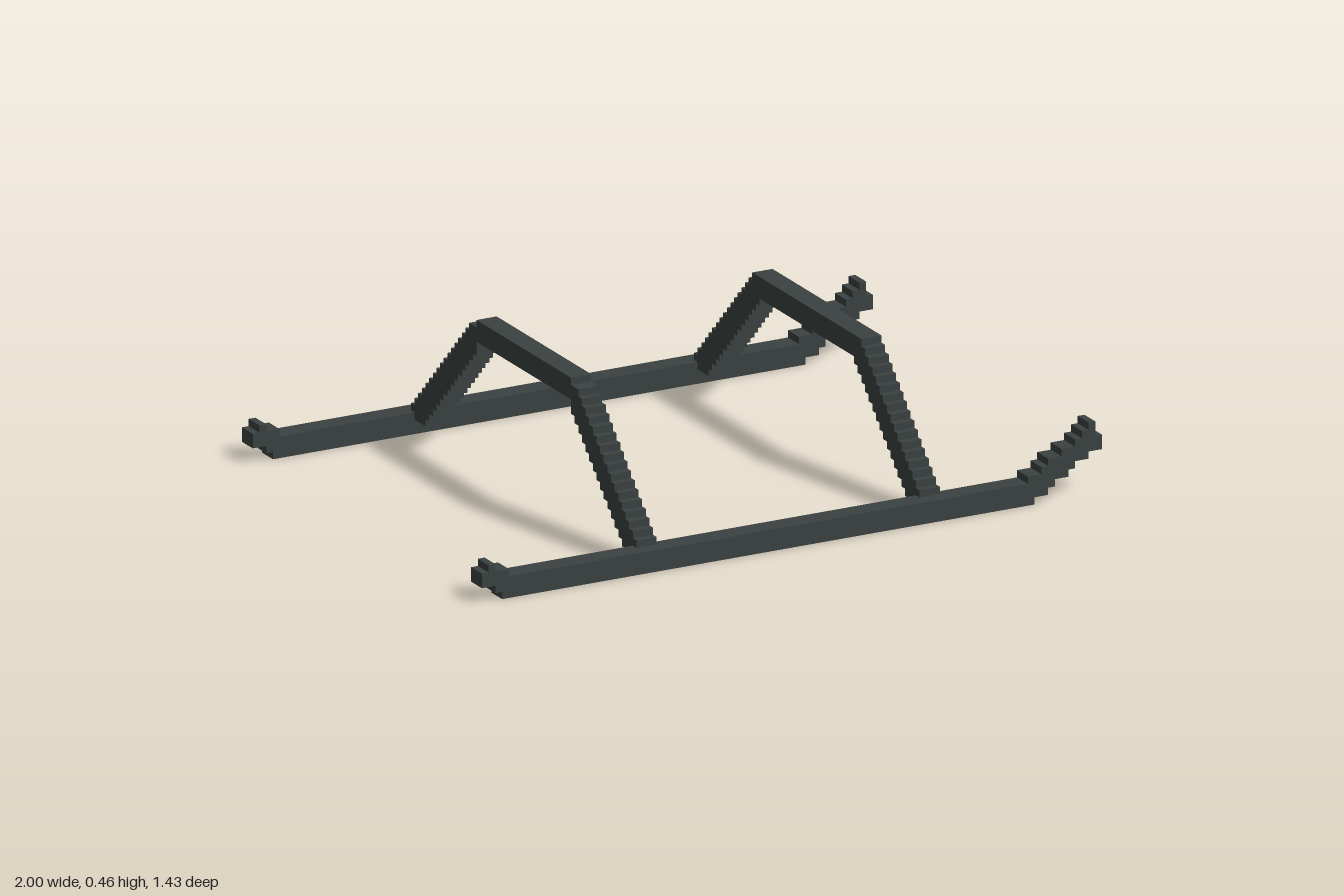
import * as THREE from 'three';

const V = 2 / 92; // size of one block

// Extrudes a stepped outline; each column is [start, end, bottom, top] in blocks
function steppedBar(columns, thickness) {
  const pts = [];
  for (const [a, b, low] of columns) pts.push([a, low], [b, low]);
  for (const [a, b, , top] of [...columns].reverse()) pts.push([b, top], [a, top]);
  const clean = pts.filter((p, i) => i === 0 || p[0] !== pts[i - 1][0] || p[1] !== pts[i - 1][1]);
  const shape = new THREE.Shape(clean.map(([x, y]) => new THREE.Vector2(x * V, y * V)));
  const geometry = new THREE.ExtrudeGeometry(shape, { depth: thickness * V, bevelEnabled: false });
  geometry.translate(0, 0, -thickness * V / 2);
  return geometry;
}

// Skid: short raised heel, long flat runner, upturned toe
function skidGeometry() {
  const columns = [[0, 1, 2, 4], [1, 2, 2, 5], [2, 3, 1, 4], [3, 4, 0, 4], [4, 81, 0, 3], [81, 82, 0, 4]];
  const toeLow = [1, 1, 2, 3, 3, 4, 5, 5, 6, 6];
  const toeTop = [4, 5, 6, 6, 7, 7, 8, 9, 10, 8];
  toeLow.forEach((low, i) => columns.push([82 + i, 83 + i, low, toeTop[i]]));
  return steppedBar(columns.map(([a, b, l, t]) => [a - 46, b - 46, l, t]), 3);
}

// Arch: flat bridge with a stepped leg down to each skid
function archGeometry(bridgeTop) {
  const leg = [];
  for (let j = 13; j <= 30; j++) {
    const low = j === 30 ? 3 : Math.max(2, 29 - j);
    leg.push([j, j + 1, low, Math.min(20, 34 - j)]);
  }
  const mirrored = leg.map(([a, b, l, t]) => [-b, -a, l, t]).reverse();
  return steppedBar([...mirrored, [-13, 13, bridgeTop - 3, bridgeTop], ...leg], 3);
}

export function createModel() {
  const group = new THREE.Group();
  const darkMetal = new THREE.MeshStandardMaterial({ color: 0x3b4241 });
  darkMetal.name = 'darkMetal';

  const add = (name, geometry) => {
    const mesh = new THREE.Mesh(geometry, darkMetal);
    mesh.name = name;
    group.add(mesh);
    return mesh;
  };

  // Pair of skids
  const skid = skidGeometry();
  add('frontSkid', skid).position.z = 31.5 * V;
  add('backSkid', skid).position.z = -31.5 * V;

  // Two arches joining the skids, one a block taller
  for (const [name, x, top] of [['rightArch', -20.5, 21], ['leftArch', 21.5, 20]]) {
    const arch = add(name, archGeometry(top));
    arch.rotation.y = Math.PI / 2;
    arch.position.x = x * V;
  }
  return group;
}
